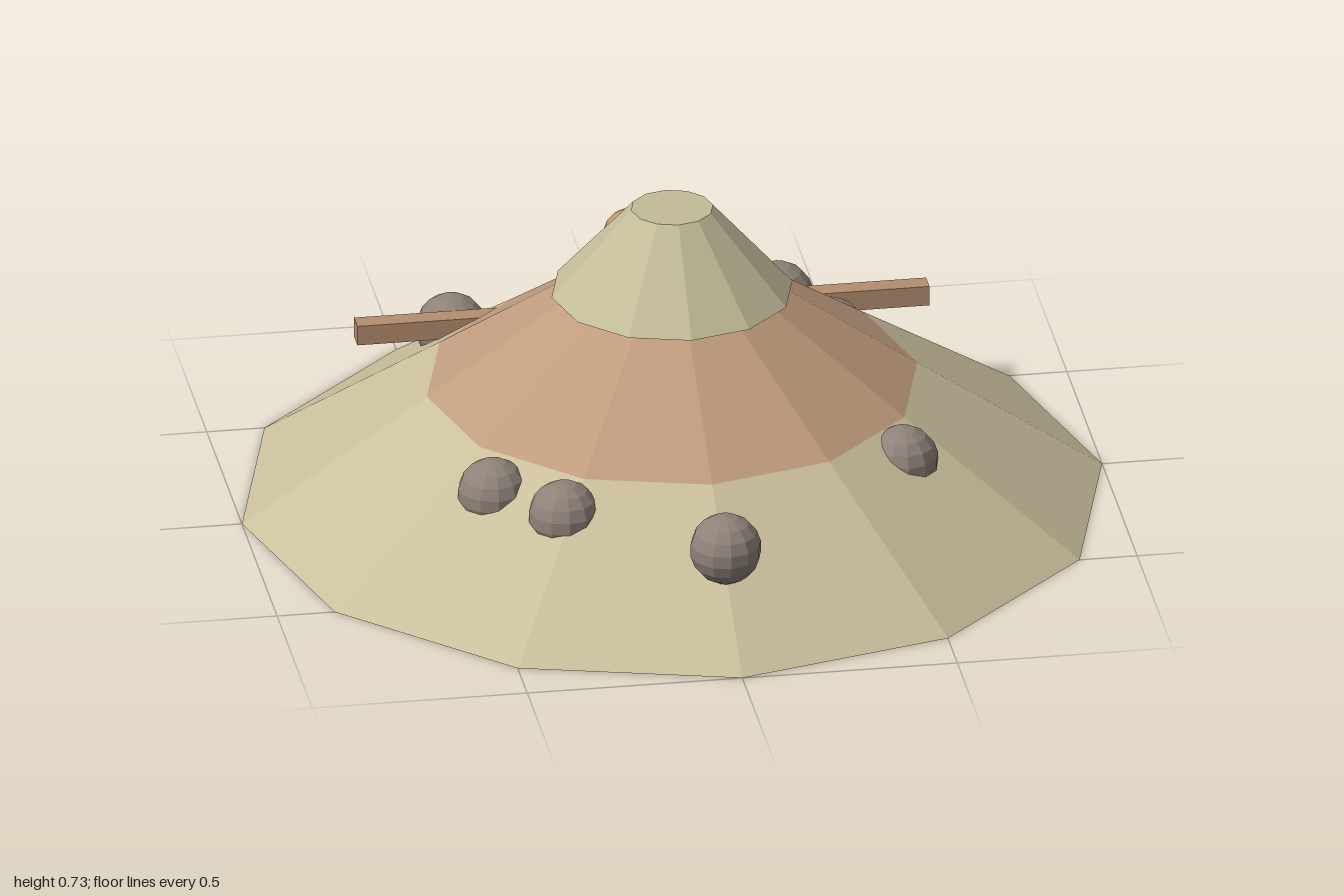
import * as THREE from 'three';

const paint = (name, hex) => {
  const m = new THREE.MeshStandardMaterial({ color: hex, flatShading: true });
  m.name = name;
  return m;
};

export function createModel() {
  const model = new THREE.Group();
  model.name = 'rockyHill';

  const sand = paint('sand', 0xcabf9c);
  const paleSand = paint('pale sand', 0xc3bc9a);
  const clay = paint('clay', 0xc09c7e);
  const stone = paint('stone', 0x8f8379);
  const copper = paint('copper', 0xc4966e);
  const timber = paint('timber', 0xb48e70);

  const add = (name, geometry, material, x, y, z) => {
    const mesh = new THREE.Mesh(geometry, material);
    mesh.name = name;
    mesh.position.set(x, y, z);
    model.add(mesh);
    return mesh;
  };

  // Twelve-sided hill: slope, clay band and overhanging summit
  const tier = (name, r0, r1, y0, y1, material) =>
    add(name, new THREE.CylinderGeometry(r1, r0, y1 - y0, 12), material, 0, (y0 + y1) / 2, 0);
  tier('lowerSlope', 1, 0.57, 0, 0.29, sand);
  tier('clayBand', 0.57, 0.235, 0.29, 0.52, clay);
  tier('summit', 0.28, 0.095, 0.52, 0.727, paleSand);

  // Boulders half buried in the slope, all at one height
  const boulder = new THREE.SphereGeometry(0.083, 12, 9);
  const spots = [
    [0, 0.763], [-0.478, 0.382], [-0.337, 0.527], [0.478, 0.361],
    [0.337, -0.552], [0.425, -0.34], [-0.43, -0.506],
  ];
  spots.forEach(([x, z], i) => add(`boulder${i + 1}`, boulder, stone, x, 0.218, z));

  // Copper ball above the rear slope
  add('copperBall', new THREE.SphereGeometry(0.07, 12, 9), copper, 0, 0.384, -0.57);

  // Timber beam running through the hill
  add('beam', new THREE.BoxGeometry(1.33, 0.048, 0.048), timber, 0, 0.262, -0.43);

  return model;
}
